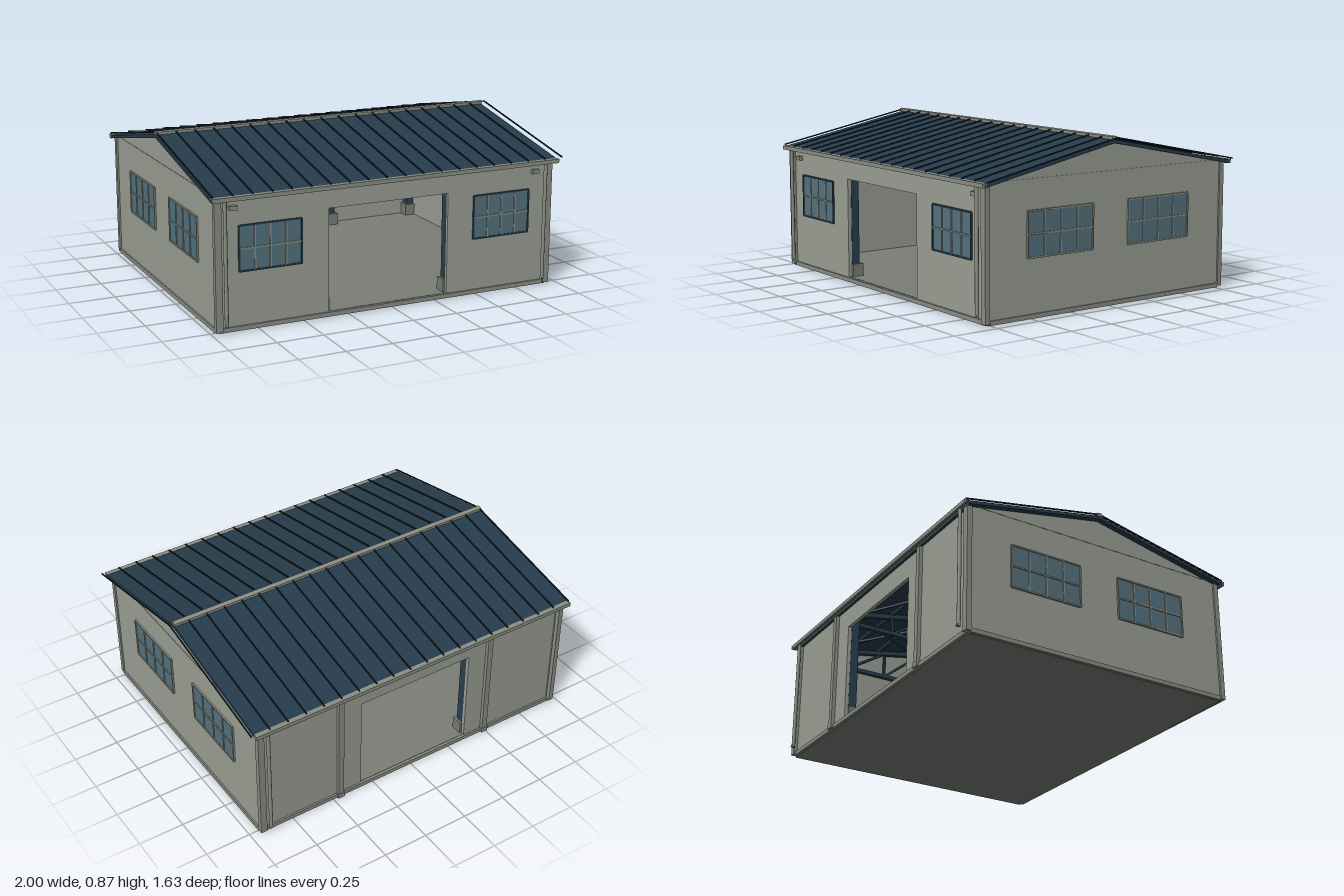
import * as THREE from 'three';

const mat = (name, color) => Object.assign(new THREE.MeshStandardMaterial({ color }), { name });

export function createModel() {
  const wallMat = mat('wall panel', 0x9ca095);
  const trimMat = mat('grey trim', 0x8b8f85);
  const roofMat = mat('navy roof', 0x263c4b);
  const ribMat = mat('dark seam', 0x15202a);
  const steelMat = mat('navy steel', 0x2a3f50);
  const glassMat = mat('window glass', 0x55737f);
  const floorMat = mat('concrete', 0x7b7f77);

  const model = new THREE.Group();
  model.name = 'workshopBuilding';

  const add = (name, geo, material, parent = model) => {
    const m = new THREE.Mesh(geo, material);
    m.name = name;
    parent.add(m);
    return m;
  };
  // Box given by its limits on each axis
  const box = (name, material, [x0, x1], [y0, y1], [z0, z1], parent) => {
    const m = add(name, new THREE.BoxGeometry(x1 - x0, y1 - y0, Math.abs(z1 - z0)), material, parent);
    m.position.set((x0 + x1) / 2, (y0 + y1) / 2, (z0 + z1) / 2);
    return m;
  };
  const shapeOf = (pts) => new THREE.Shape(pts.map(([a, b]) => new THREE.Vector2(a, b)));
  // Prism along x from a (z, y) section
  const prism = (name, material, pts, x0, x1, parent) => {
    const g = new THREE.ExtrudeGeometry(shapeOf(pts.map(([z, y]) => [-z, y])), { depth: x1 - x0, bevelEnabled: false });
    g.rotateY(Math.PI / 2);
    g.translate(x0, 0, 0);
    return add(name, g, material, parent);
  };
  // Square bar between two points
  const beam = (name, material, a, b, t, parent) => {
    const p = new THREE.Vector3(...a), q = new THREE.Vector3(...b);
    const m = add(name, new THREE.BoxGeometry(t, t, p.distanceTo(q)), material, parent);
    m.position.copy(p).add(q).multiplyScalar(0.5);
    m.lookAt(q);
    return m;
  };

  const X0 = -0.97, X1 = 0.94, Z = 0.765, MID = (X0 + X1) / 2;
  const roofY = (z) => 0.855 - 0.2 * Math.abs(z);

  // Floor slab and base rails
  box('floorSlab', floorMat, [X0 + 0.005, X1 - 0.005], [0, 0.028], [-Z + 0.005, Z - 0.005]);
  for (const s of [-1, 1]) {
    box('baseRail', trimMat, [-0.96, 0.93], [0.003, 0.026], [s * (Z - 0.005), s * (Z + 0.01)]);
    const x = s < 0 ? X0 : X1;
    box('sideBaseRail', trimMat, [x - 0.008, x + 0.008], [0.003, 0.026], [-0.755, 0.755]);
  }

  // Long walls with a doorway each
  const D0 = -0.36, D1 = 0.323, DY = 0.57;
  const longWall = shapeOf([[X0, 0.01], [D0, 0.01], [D0, DY], [D1, DY], [D1, 0.01], [X1, 0.01], [X1, 0.69], [X0, 0.69]]);
  for (const s of [-1, 1]) {
    const w = add(s > 0 ? 'frontWall' : 'backWall',
      new THREE.ExtrudeGeometry(longWall, { depth: 0.02, bevelEnabled: false }), wallMat);
    w.position.z = s > 0 ? Z - 0.02 : -Z;
  }

  // Gable walls with a thin joint line at eave height
  const gable = [[Z, 0.01], [Z, roofY(Z) - 0.01], [0, 0.845], [-Z, roofY(Z) - 0.01], [-Z, 0.01]];
  prism('rightGableWall', wallMat, gable, X0, X0 + 0.02);
  prism('leftGableWall', wallMat, gable, X1 - 0.02, X1);
  for (const x of [X0, X1]) box('gableJoint', trimMat, [x - 0.002, x + 0.002], [0.693, 0.697], [-0.75, 0.75]);

  // Roof slopes, standing seams, eave gutters
  for (const s of [-1, 1]) {
    const e = s * 0.805;
    const slope = (top, bottom) => [[0, 0.855 + top], [e, roofY(e) + top], [e, roofY(e) + bottom], [0, 0.855 + bottom]];
    prism('roofPanel', roofMat, slope(0, -0.018), -1, 0.97);
    for (let i = 0; i < 20; i++) {
      const x = -0.9945 + i * 0.1046;
      prism('roofSeam', ribMat, slope(0.015, 0.008), x - 0.003, x + 0.003);
    }
    box('eaveGutter', trimMat, [-1, 0.97], [0.677, 0.699], [s * 0.788, s * 0.815]);
  }
  prism('ridgeCap', trimMat, [[-0.016, 0.855], [0.016, 0.855], [0.016, 0.87], [0, 0.874], [-0.016, 0.87]], -1, 0.97);

  // Corner posts and downpipes
  for (const s of [-1, 1]) {
    for (const [a, b] of [[-0.98, -0.943], [0.912, 0.948]]) {
      box('cornerPost', trimMat, [a, b], [0.01, 0.69], [s * 0.757, s * 0.785]);
    }
    for (const x of [-0.93, 0.897]) {
      const pipe = add('downpipe', new THREE.CylinderGeometry(0.01, 0.01, 0.64, 10), trimMat);
      pipe.position.set(x, 0.36, s * 0.798);
      beam('pipeFoot', trimMat, [x, 0.05, s * 0.8], [x, 0.04, s * 0.806], 0.014);
    }
  }
  // Rear wall posts either side of the doorway
  for (const x of [-0.488, 0.458]) {
    box('rearPost', trimMat, [x - 0.016, x + 0.016], [0.01, 0.685], [-0.785, -0.76]);
    box('rearPostFoot', trimMat, [x - 0.02, x + 0.02], [0.005, 0.032], [-0.788, -0.76]);
  }

  // Window in its own plane, facing +z
  const makeWindow = (w, h, frameMat) => {
    const g = new THREE.Group();
    g.name = 'window';
    box('glass', glassMat, [-w / 2, w / 2], [-h / 2, h / 2], [0, 0.004], g);
    for (const s of [-1, 1]) {
      box('frameSide', frameMat, [s * w / 2 - 0.004, s * w / 2 + 0.004], [-h / 2, h / 2], [0, 0.009], g);
      box('frameRail', frameMat, [-w / 2, w / 2], [s * h / 2 - 0.004, s * h / 2 + 0.004], [0, 0.009], g);
    }
    for (const i of [-1, 0, 1]) {
      box('mullion', trimMat, [i * w / 4 - 0.004, i * w / 4 + 0.004], [-h / 2, h / 2], [0.002, 0.008], g);
    }
    box('transom', trimMat, [-w / 2, w / 2], [-0.004, 0.004], [0.002, 0.009], g);
    model.add(g);
    return g;
  };
  for (const x of [-0.68, 0.645]) makeWindow(0.335, 0.232, steelMat).position.set(x, 0.423, Z);
  for (const z of [-0.322, 0.322]) {
    for (const s of [-1, 1]) {
      const win = makeWindow(0.41, 0.232, trimMat);
      win.rotation.y = s * Math.PI / 2;
      win.position.set(s > 0 ? X1 : X0, 0.423, z);
    }
  }

  // Small wall lamps near the front eaves
  for (const x of [-0.88, 0.846]) box('wallLamp', trimMat, [x - 0.02, x + 0.02], [0.624, 0.646], [Z, Z + 0.022]);

  // Interior steel frames: columns on plinths, roof trusses
  const frames = [-0.925, -0.385, 0.35, 0.895];
  const chordY = 0.61;
  for (const x of frames) {
    const f = new THREE.Group();
    f.name = 'steelFrame';
    model.add(f);
    const low = (z) => roofY(z) - 0.045;
    beam('bottomChord', steelMat, [x, chordY, -0.72], [x, chordY, 0.72], 0.022, f);
    beam('kingPost', steelMat, [x, chordY, 0], [x, low(0), 0], 0.018, f);
    for (const s of [-1, 1]) {
      box('column', steelMat, [x - 0.022, x + 0.022], [0.028, 0.66], [s * 0.695, s * 0.742], f);
      box('plinth', floorMat, [x - 0.036, x + 0.036], [0.028, 0.097], [s * 0.68, s * 0.744], f);
      beam('rafter', steelMat, [x, low(0.74), s * 0.74], [x, low(0), 0], 0.026, f);
      for (const z of [0.24, 0.48]) {
        beam('post', steelMat, [x, chordY, s * z], [x, low(z), s * z], 0.014, f);
        beam('web', steelMat, [x, chordY, s * z], [x, low(z - 0.24), s * (z - 0.24)], 0.014, f);
      }
    }
  }
  // Purlins and diagonal roof bracing
  for (const s of [-1, 1]) {
    for (const z of [0.08, 0.28, 0.48, 0.68]) {
      beam('purlin', steelMat, [X0 + 0.02, roofY(z) - 0.028, s * z], [X1 - 0.02, roofY(z) - 0.028, s * z], 0.018);
    }
    for (let i = 0; i < frames.length - 1; i++) {
      const a = frames[i], b = frames[i + 1];
      beam('brace', steelMat, [a, roofY(0.7) - 0.045, s * 0.7], [b, roofY(0.04) - 0.045, s * 0.04], 0.012);
      beam('brace', steelMat, [b, roofY(0.7) - 0.045, s * 0.7], [a, roofY(0.04) - 0.045, s * 0.04], 0.012);
    }
  }
  beam('ridgeBeam', steelMat, [X0 + 0.02, 0.815, 0], [X1 - 0.02, 0.815, 0], 0.02);

  return model;
}
